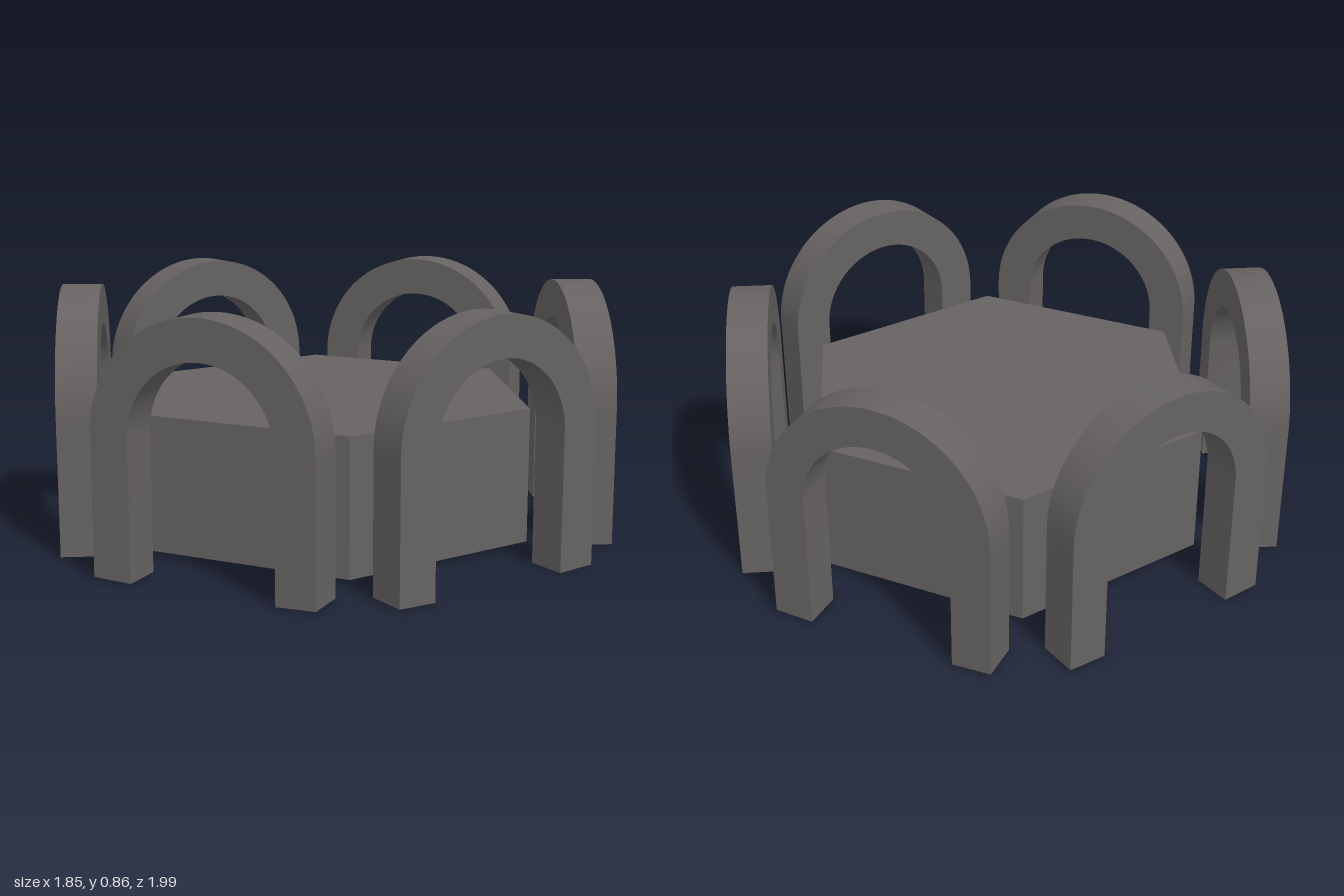
import * as THREE from 'three';
import { toCreasedNormals } from 'three/addons/utils/BufferGeometryUtils.js';

const R_OUT = 0.39, R_IN = 0.255, SPRING = 0.468, DEPTH = 0.135;
const APOTHEM = 0.79; // distance from the centre to an arch's inner face

// Hollow arch, open under both feet
function archGeometry() {
  const s = new THREE.Shape();
  s.moveTo(R_OUT, 0.005);
  s.lineTo(R_OUT, SPRING);
  s.absarc(0, SPRING, R_OUT, 0, Math.PI, false);
  s.lineTo(-R_OUT, 0.005);
  s.lineTo(-R_IN, 0);
  s.lineTo(-R_IN, SPRING);
  s.absarc(0, SPRING, R_IN, Math.PI, 0, true);
  s.lineTo(R_IN, 0);
  s.closePath();
  const solid = new THREE.ExtrudeGeometry(s, { depth: DEPTH, bevelEnabled: false, curveSegments: 32 });

  // Drop the triangles that close the feet
  const p = solid.attributes.position.array;
  const kept = [];
  for (let i = 0; i < p.length; i += 9) {
    if (Math.max(p[i + 1], p[i + 4], p[i + 7]) > 0.01) kept.push(...p.slice(i, i + 9));
  }
  const geo = new THREE.BufferGeometry();
  geo.setAttribute('position', new THREE.Float32BufferAttribute(kept, 3));
  geo.translate(0, 0, APOTHEM);
  return toCreasedNormals(geo, 0.5);
}

export function createModel() {
  const model = new THREE.Group();
  const stone = new THREE.MeshStandardMaterial({ color: 0x666262, side: THREE.DoubleSide });
  stone.name = 'darkGreyStone';

  const add = (name, geo) => {
    const mesh = new THREE.Mesh(geo, stone);
    mesh.name = name;
    model.add(mesh);
    return mesh;
  };

  // Hexagonal platform: thin walls and a top, open below
  const walls = new THREE.CylinderGeometry(0.735, 0.735, 0.46, 6, 1, true);
  add('platformWalls', toCreasedNormals(walls, 0.5)).position.y = 0.245;
  const top = new THREE.CircleGeometry(0.735, 6, Math.PI / 2);
  top.rotateX(-Math.PI / 2);
  add('platformTop', top).position.y = 0.475;

  // One arch facing each side of the platform
  const arch = archGeometry();
  for (let i = 0; i < 6; i++) {
    add(`arch${i + 1}`, arch).rotation.y = Math.PI / 6 + (i * Math.PI) / 3;
  }
  return model;
}
